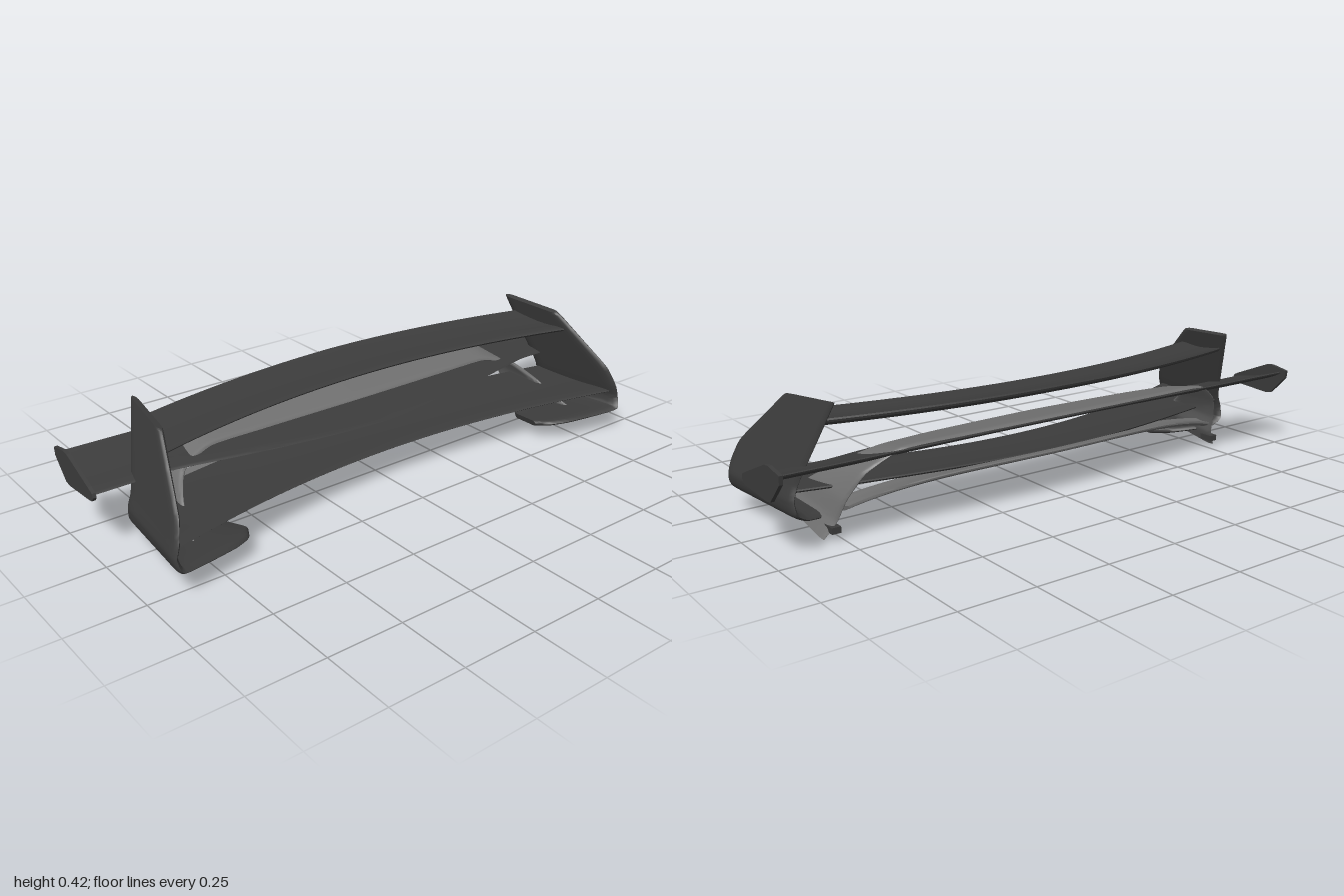
import * as THREE from 'three';
import { toCreasedNormals } from 'three/addons/utils/BufferGeometryUtils.js';

const dark = new THREE.MeshStandardMaterial({ color: 0x3c3c3c });
const light = new THREE.MeshStandardMaterial({ color: 0x707070 });

// Half-thickness along the chord: a blunt-tailed wing, or a round-edged slab for panels
const airfoil = u => u >= 1 ? 0 : Math.min(1, 2.6 * Math.sqrt(u) * (1 - u) + 0.45 * u);
const slab = u => Math.min(1, Math.sqrt(Math.max(0, u * (1 - u))) * 4);

// Lofts a closed section between leading points f and trailing points r
function loft(f, r, thick, bow = 0, profile = airfoil) {
  const N = 14, ring = 2 * N, pos = [], idx = [];
  f.forEach((p, i) => {
    const a = Math.max(0, i - 1), b = Math.min(f.length - 1, i + 1);
    const tangent = f[b].clone().add(r[b]).sub(f[a]).sub(r[a]);
    const chord = r[i].clone().sub(p);
    const normal = tangent.cross(chord).normalize();
    for (let j = 0; j < ring; j++) {
      const k = j <= N ? j : ring - j;
      const u = (1 - Math.cos(Math.PI * k / N)) / 2;
      const h = (j <= N ? 1 : -1) * profile(u) * thick / 2 - bow * 4 * u * (1 - u);
      const v = p.clone().addScaledVector(chord, u).addScaledVector(normal, h);
      pos.push(v.x, v.y, v.z);
    }
  });
  for (let i = 0; i < f.length - 1; i++) {
    for (let j = 0; j < ring; j++) {
      const a = i * ring + j, b = i * ring + (j + 1) % ring;
      idx.push(a, a + ring, b, b, a + ring, b + ring);
    }
  }
  // end caps
  const e = (f.length - 1) * ring;
  for (let j = 0; j < N; j++) {
    const a = j, b = j + 1, c = ring - j - 1, d = (ring - j) % ring;
    if (b !== c) idx.push(a, b, c, e + a, e + c, e + b);
    if (a !== d) idx.push(a, c, d, e + a, e + d, e + c);
  }
  const g = new THREE.BufferGeometry();
  g.setAttribute('position', new THREE.Float32BufferAttribute(pos, 3));
  g.setIndex(idx);
  return toCreasedNormals(g, 0.7);
}

// Wing across x with half spans at its leading and trailing edges;
// front(t) and rear(t) give [y, z] for t = 0 centre .. 1 tip
function wing(halfFront, halfRear, front, rear, thick, bow) {
  const f = [], r = [], n = 40;
  for (let i = 0; i <= n; i++) {
    const s = 2 * i / n - 1, t = Math.abs(s);
    f.push(new THREE.Vector3(s * halfFront, ...front(t)));
    r.push(new THREE.Vector3(s * halfRear, ...rear(t)));
  }
  return loft(f, r, thick, bow);
}

// Panel through stations [fx, fy, fz, rx, ry, rz], smoothed
function panel(stations, thick) {
  const rail = o => new THREE.CatmullRomCurve3(
    stations.map(s => new THREE.Vector3(s[o], s[o + 1], s[o + 2])), false, 'catmullrom', 0.3
  ).getPoints((stations.length - 1) * 6);
  return loft(rail(0), rail(3), thick, 0, slab);
}

const mirror = st => st.map(([a, b, c, d, e, f]) => [-a, b, c, -d, e, f]).reverse();

export function createModel() {
  const model = new THREE.Group();
  const add = (name, geometry, material = dark) => {
    const m = new THREE.Mesh(geometry, material);
    m.name = name;
    model.add(m);
    return m;
  };

  // Three stacked wings
  add('upperWing', wing(0.825, 0.792,
    t => [0.35, -0.04 + 0.12 * t * t],
    t => [0.372 - 0.005 * t, -0.247 + 0.1 * t * t], 0.024, 0.017));
  add('middleWing', wing(0.99, 0.99,
    t => [0.205 + 0.012 * Math.min(1, t * 1.5), 0.05 - 0.1 * Math.min(1, 1.35 * t) ** 1.6],
    t => [0.27 + 0.005 * t, -0.25 - 0.018 * t], 0.015, 0.01));
  add('lowerWing', wing(0.895, 0.86,
    t => [0.122 + 0.022 * t * t, 0.092 + 0.16 * t * t],
    t => [0.148 + 0.002 * t * t, -0.19 + 0.115 * t ** 1.6], 0.018, 0.012));

  // Arched deck with legs curving down at both sides
  const half = [
    [0.8, 0.06, 0.19, 0.8, 0.004, -0.128],
    [0.775, 0.1, 0.11, 0.765, 0.06, -0.148],
    [0.75, 0.15, 0.03, 0.745, 0.13, -0.175],
    [0.695, 0.205, -0.05, 0.7, 0.21, -0.212],
    [0.58, 0.239, -0.085, 0.6, 0.272, -0.248],
    [0.4, 0.245, -0.078, 0.4, 0.28, -0.262],
    [0.2, 0.247, -0.073, 0.2, 0.284, -0.274],
  ];
  const centre = [0, 0.248, -0.07, 0, 0.286, -0.279];
  add('archedDeck', panel([...mirror(half).reverse(), centre, ...half.slice().reverse()], 0.016), light);

  // Curved lip behind the lower wing, drooping into the legs
  add('rearLip', wing(0.755, 0.735,
    t => [0.124 - 0.03 * t ** 4, -0.07],
    t => [0.157 - 0.055 * t ** 4, -0.233 + 0.068 * t * t], 0.018, 0.008), light);

  // Leaning end plates that fold inward into a foot
  const plateX = (y, z) => 0.905 + 0.12 * (z - 0.27) - 0.26 * (y - 0.15);
  const outline = [
    [0.17, -0.09, 0.17, 0.275], [0.235, -0.114, 0.235, 0.245], [0.32, -0.147, 0.32, 0.152],
    [0.41, -0.182, 0.4, 0.062], [0.426, -0.187, 0.41, 0.047],
  ];
  const plate = [
    [0.61, 0.06, 0.16, 0.64, 0.04, 0.03],
    [0.64, 0.068, 0.21, 0.69, 0.046, -0.03],
    [0.70, 0.073, 0.242, 0.76, 0.055, -0.075],
    [0.83, 0.08, 0.276, 0.83, 0.063, -0.095],
    [0.9, 0.087, 0.291, 0.865, 0.085, -0.1],
    [0.912, 0.125, 0.278, 0.87, 0.125, -0.091],
    ...outline.map(([ry, rz, fy, fz]) => [plateX(fy, fz), fy, fz, plateX(ry, rz), ry, rz]),
  ];

  // Small fins closing the tips of the middle wing
  const fin = new THREE.Shape([
    [0.04, 0.213], [0.05, 0.2], [0.075, 0.196], [0.2, 0.188], [0.225, 0.192], [0.287, 0.257],
    [0.29, 0.284], [0.225, 0.295], [0.2, 0.293], [0.07, 0.238], [0.045, 0.226],
  ].map(p => new THREE.Vector2(...p)));
  const finGeometry = new THREE.ExtrudeGeometry(fin, { depth: 0.012, bevelEnabled: false });
  finGeometry.rotateY(Math.PI / 2);

  for (const [side, s] of [['left', 1], ['right', -1]]) {
    add(side + 'EndPlate', panel(s > 0 ? plate : mirror(plate), 0.02));
    add(side + 'TipFin', finGeometry).position.x = s > 0 ? 0.988 : -1;
    add(side + 'FootBracket', new THREE.BoxGeometry(0.03, 0.02, 0.05)).position.set(s * 0.772, 0.036, -0.13);
  }
  return model;
}
